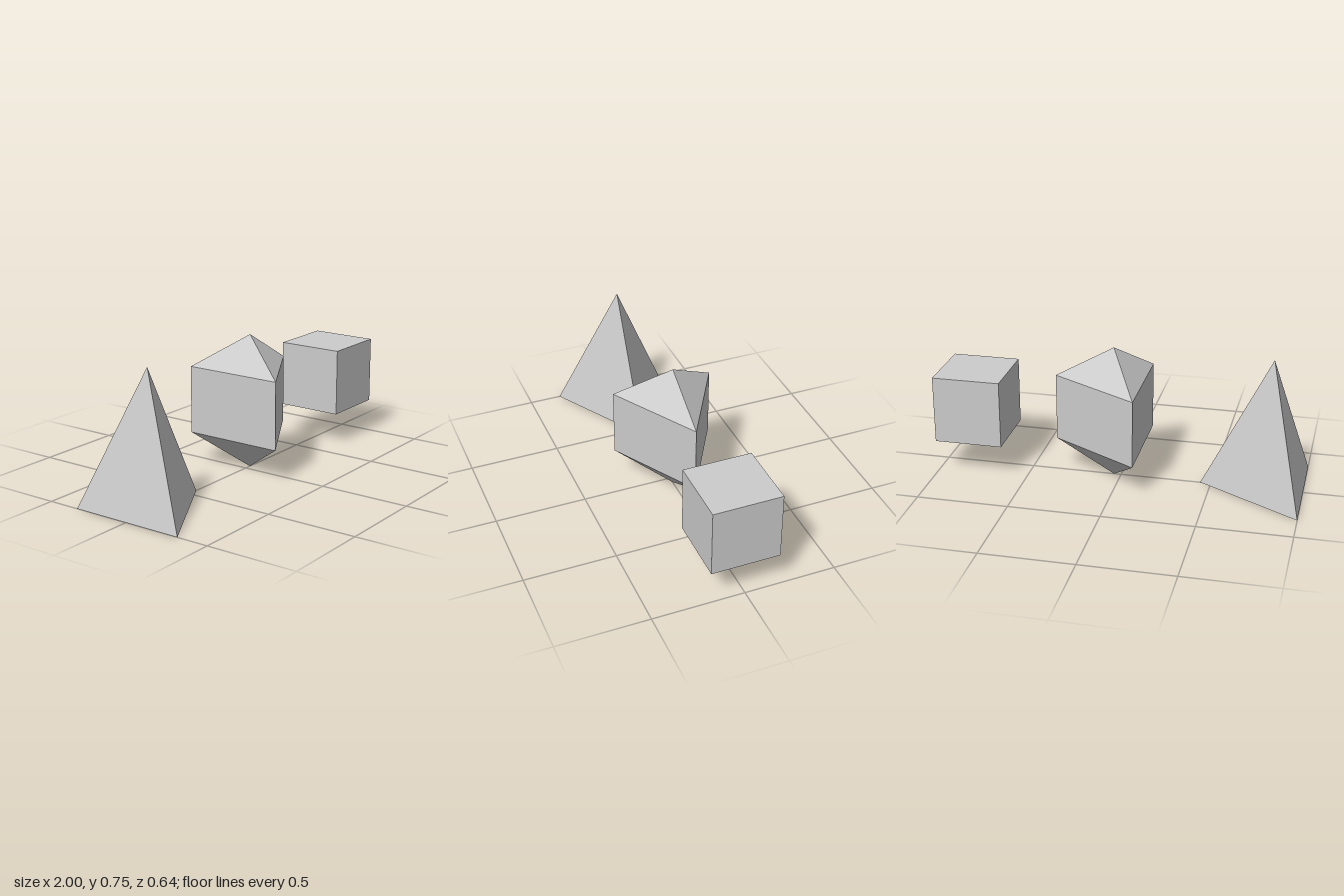
import * as THREE from 'three';

const U = 0.1864; // quarter of the total height

export function createModel() {
  const group = new THREE.Group();
  const material = new THREE.MeshStandardMaterial({ color: 0xcccccc, flatShading: true });

  const add = (name, geometry, x, y) => {
    const mesh = new THREE.Mesh(geometry, material);
    mesh.name = name;
    mesh.position.set(x, y, 0);
    group.add(mesh);
  };

  // Three-sided pyramid with one corner pointing to +x
  add('pyramid', new THREE.ConeGeometry(0.372, 4 * U, 3, 1, false, Math.PI / 2), -0.814, 2 * U);

  // Triangular prism with a pointed cap above and below
  const r = 0.322;
  const profile = [[0, 0], [r, U], [r, 3 * U], [0, 4 * U]].map(([x, y]) => new THREE.Vector2(x, y));
  add('pointedPrism', new THREE.LatheGeometry(profile, 3, Math.PI / 2), 0.039, 0);

  // Floating cube, centred at half height
  add('cube', new THREE.BoxGeometry(2 * U, 2 * U, 2 * U), 1 - U, 2 * U);

  return group;
}
